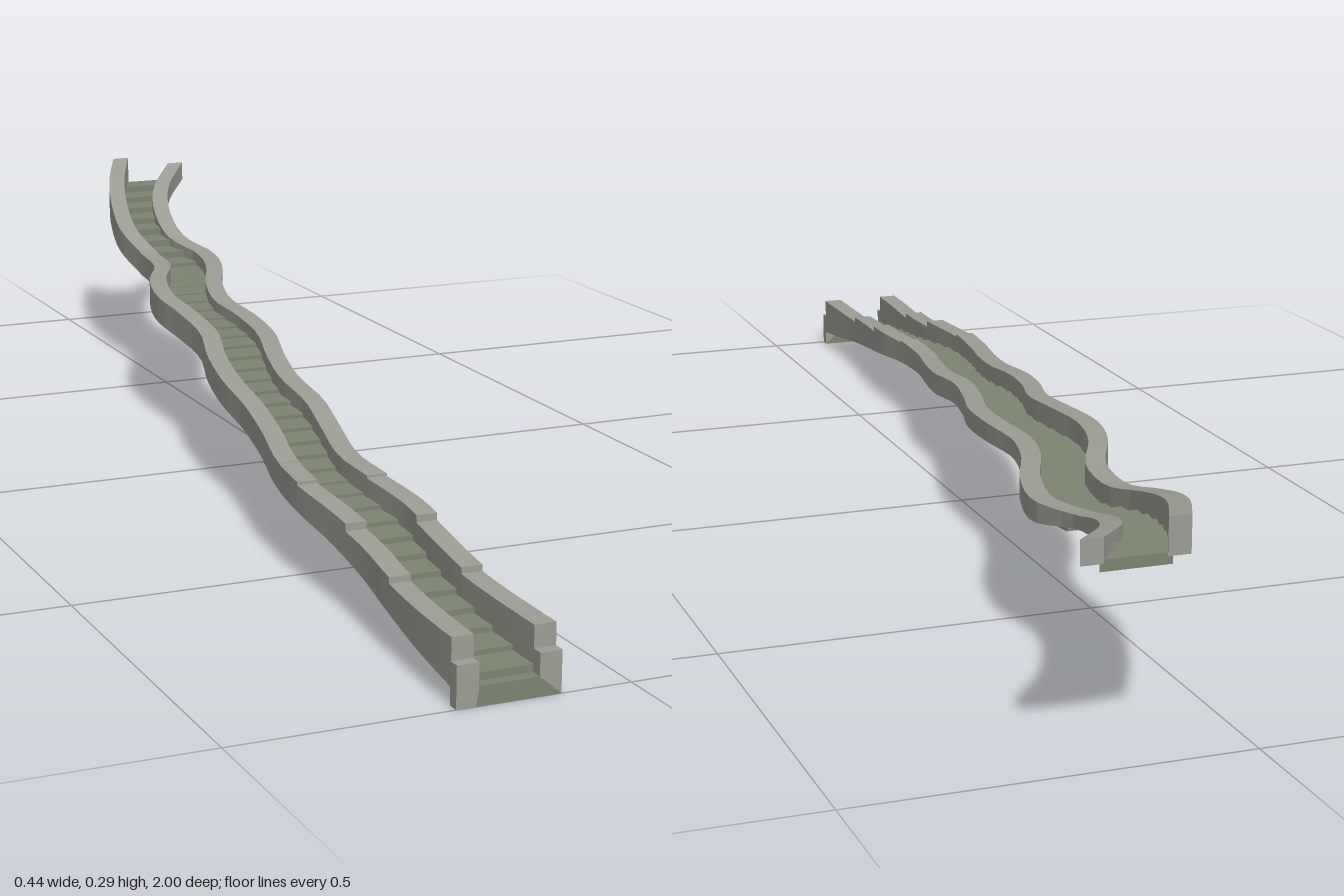
import * as THREE from 'three';

// stations from the foot (z = 1) to the top (z = -1), every 0.1:
// outer x on the -x side, outer x on the +x side, wall tops (-x, +x), wall underside
const STATIONS = [
  [-0.222, -0.09, 0.08, 0.08, 0.02], [-0.218, -0.09, 0.08, 0.08, 0.032],
  [-0.21, -0.088, 0.085, 0.085, 0.046], [-0.2, -0.08, 0.1, 0.1, 0.06],
  [-0.197, -0.07, 0.113, 0.112, 0.074], [-0.197, -0.072, 0.122, 0.12, 0.084],
  [-0.185, -0.068, 0.127, 0.122, 0.09], [-0.163, -0.047, 0.136, 0.13, 0.1],
  [-0.147, -0.028, 0.146, 0.142, 0.11], [-0.14, -0.023, 0.158, 0.152, 0.121],
  [-0.122, -0.002, 0.168, 0.16, 0.13], [-0.095, 0.025, 0.178, 0.168, 0.14],
  [-0.09, 0.034, 0.187, 0.174, 0.147], [-0.088, 0.035, 0.193, 0.178, 0.153],
  [-0.063, 0.06, 0.197, 0.184, 0.158], [-0.018, 0.1, 0.196, 0.188, 0.16],
  [-0.005, 0.122, 0.198, 0.19, 0.162], [-0.005, 0.11, 0.22, 0.2, 0.182],
  [0.015, 0.122, 0.246, 0.225, 0.203], [0.047, 0.158, 0.27, 0.25, 0.222],
  [0.09, 0.222, 0.288, 0.273, 0.242],
];
const WALL = 0.028;

// smooth interpolation of one station column at a given z
const curves = [0, 1, 2, 3, 4].map((k) => new THREE.CatmullRomCurve3(
  STATIONS.map((s, i) => new THREE.Vector3(s[k], 0, 1 - i * 0.1)), false, 'catmullrom', 0.5));
const at = (k, z) => curves[k].getPoint(THREE.MathUtils.clamp((1 - z) / 2, 0, 1)).x;

// closed solid from four-cornered rings, running from front to back
function loft(rings) {
  const pos = [];
  const tri = (...pts) => pts.forEach((p) => pos.push(...p));
  for (let r = 0; r < rings.length - 1; r++) {
    const a = rings[r], b = rings[r + 1];
    for (let i = 0; i < 4; i++) {
      const j = (i + 1) % 4;
      tri(a[i], b[i], b[j], a[i], b[j], a[j]);
    }
  }
  const f = rings[0], e = rings[rings.length - 1];
  tri(f[0], f[1], f[2], f[0], f[2], f[3]);
  tri(e[0], e[2], e[1], e[0], e[3], e[2]);
  const g = new THREE.BufferGeometry();
  g.setAttribute('position', new THREE.Float32BufferAttribute(pos, 3));
  g.computeVertexNormals();
  return g;
}
const ring = (x0, x1, y0, y1, z) => [[x0, y0, z], [x1, y0, z], [x1, y1, z], [x0, y1, z]];

export function createModel() {
  const model = new THREE.Group();
  const stone = new THREE.MeshStandardMaterial({ color: 0x9c9d94 });
  const floor = new THREE.MeshStandardMaterial({ color: 0x7d8471 });
  stone.name = 'wall stone';
  floor.name = 'step stone';
  const add = (parent, name, geometry, material) => {
    const m = new THREE.Mesh(geometry, material);
    m.name = name;
    parent.add(m);
  };

  // side walls: short stepped blocks near the foot, then one long sweep
  const joints = [0.985, 0.95, 0.8, 0.65, 0.5, 0.42, -1];
  for (const side of [0, 1]) {
    const wall = new THREE.Group();
    wall.name = side ? 'leftWall' : 'rightWall';
    model.add(wall);
    for (let s = 0; s < joints.length - 1; s++) {
      const z0 = joints[s], z1 = joints[s + 1];
      const block = s < joints.length - 2;
      const n = Math.ceil((z0 - z1) / 0.03);
      const middle = at(2 + side, (z0 + z1) / 2);
      const rings = [];
      for (let i = 0; i <= n; i++) {
        const z = z0 + (z1 - z0) * i / n;
        const x = at(side, z);
        let top = at(2 + side, z);
        if (block) top = middle + (top - middle) * 0.5;
        rings.push(ring(side ? x - WALL : x, side ? x : x + WALL, at(4, z), top, z));
      }
      add(wall, block ? 'wallBlock' : 'wallSweep', loft(rings), stone);
    }
  }

  // steps
  const steps = new THREE.Group();
  steps.name = 'steps';
  model.add(steps);
  const count = 40;
  for (let i = 0; i < count; i++) {
    const z0 = 0.985 - i * 1.98 / count;
    const z1 = z0 - 1.98 / count;
    const y = at(4, (z0 + z1) / 2);
    const rings = [];
    for (let k = 0; k <= 2; k++) {
      const z = z0 + (z1 - z0) * k / 2;
      rings.push(ring(at(0, z) + 0.022, at(1, z) - 0.022, y - 0.005, y + 0.009, z));
    }
    add(steps, 'step', loft(rings), floor);
  }

  // front plate: a riser between two feet
  const plate = (name, pts, material) => {
    const g = new THREE.ExtrudeGeometry(new THREE.Shape(pts.map((p) => new THREE.Vector2(...p))),
      { depth: 0.015, bevelEnabled: false });
    g.translate(0, 0, 0.985);
    add(model, name, g, material);
  };
  plate('rightFoot', [[-0.222, 0], [-0.197, 0], [-0.194, 0.02], [-0.194, 0.052], [-0.222, 0.052]], stone);
  plate('leftFoot', [[-0.09, 0], [-0.09, 0.052], [-0.118, 0.052], [-0.118, 0.024]], stone);
  plate('frontRiser', [[-0.197, 0], [-0.09, 0], [-0.118, 0.024], [-0.194, 0.024], [-0.194, 0.02]], floor);

  return model;
}
